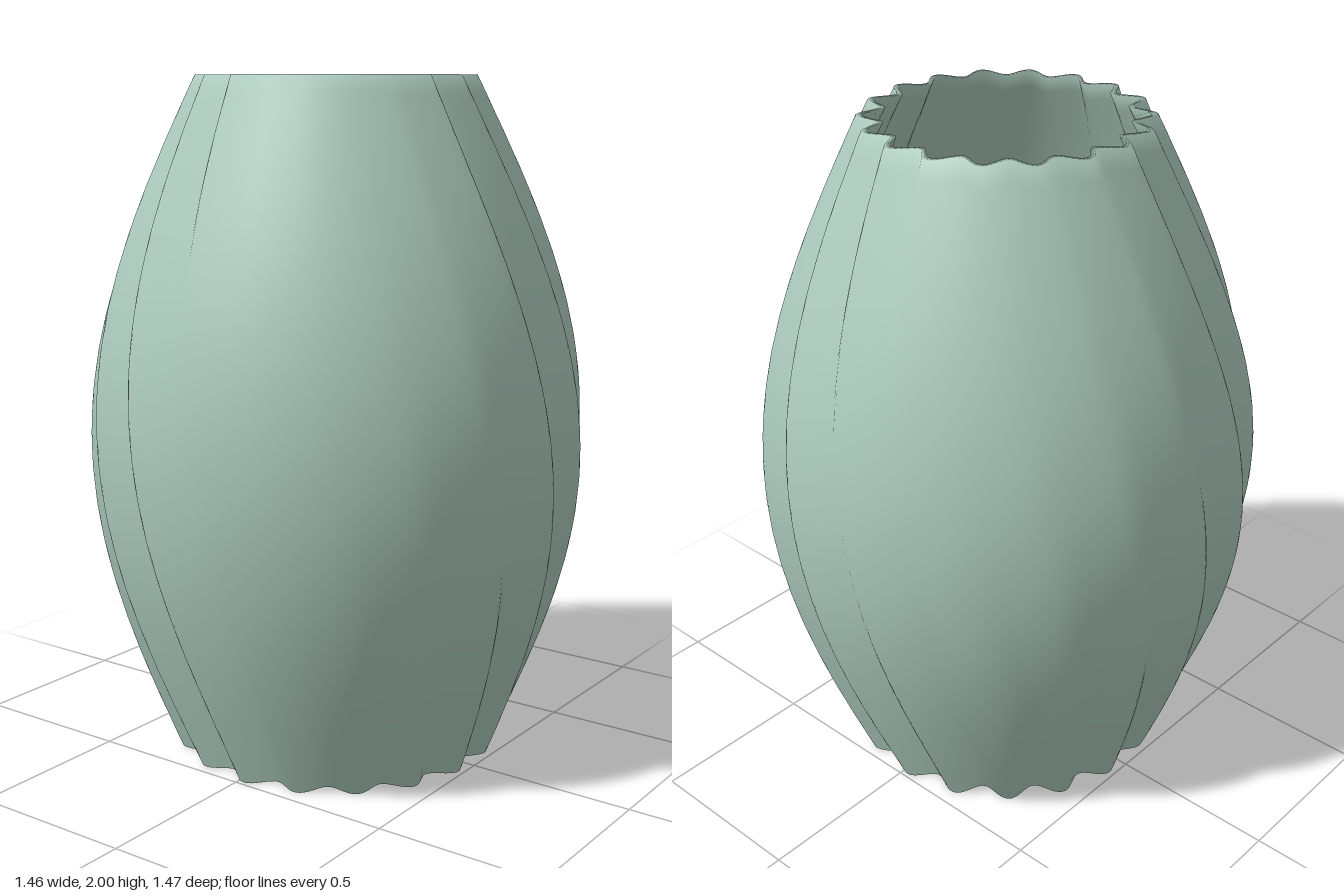
import * as THREE from 'three';

const LOBES = 18;      // flutes around the wall
const DEPTH = 0.026;   // half the flute depth
const WALL = 0.02;     // wall thickness
const HEIGHT = 2;
const ROWS = 40;
const TWIST = THREE.MathUtils.degToRad(15); // flute twist per unit of height
const PHASE = THREE.MathUtils.degToRad(2.6);

// Mean outer radius: a slight taper plus a barrel-shaped bulge
const radiusAt = (y) => 0.463 - 0.04 * y + 0.285 * Math.sin((Math.PI * y) / HEIGHT);

export function createModel() {
  const model = new THREE.Group();
  model.name = 'flutedVase';

  const glaze = new THREE.MeshStandardMaterial({ color: 0xaccabd });
  glaze.name = 'sage green';

  // Closed wall profile: up the outside, over the rim, down the inside
  const profile = [];
  for (let i = 0; i <= ROWS; i++) {
    const y = (HEIGHT * i) / ROWS;
    profile.push(new THREE.Vector2(radiusAt(y), y));
  }
  for (let i = ROWS; i >= 0; i--) {
    const y = (HEIGHT * i) / ROWS;
    profile.push(new THREE.Vector2(radiusAt(y) - WALL, y));
  }
  profile.push(profile[0].clone());

  const geometry = new THREE.LatheGeometry(profile, LOBES * 12);

  // Push the wall in and out in twisting flutes, keeping the soft lathe normals
  const p = geometry.attributes.position;
  for (let i = 0; i < p.count; i++) {
    const x = p.getX(i), y = p.getY(i), z = p.getZ(i);
    const angle = Math.atan2(x, z);
    const r = Math.hypot(x, z) + DEPTH * Math.cos(LOBES * (angle + PHASE + TWIST * (y - HEIGHT / 2)));
    p.setX(i, r * Math.sin(angle));
    p.setZ(i, r * Math.cos(angle));
  }

  const wall = new THREE.Mesh(geometry, glaze);
  wall.name = 'flutedWall';
  model.add(wall);
  return model;
}
